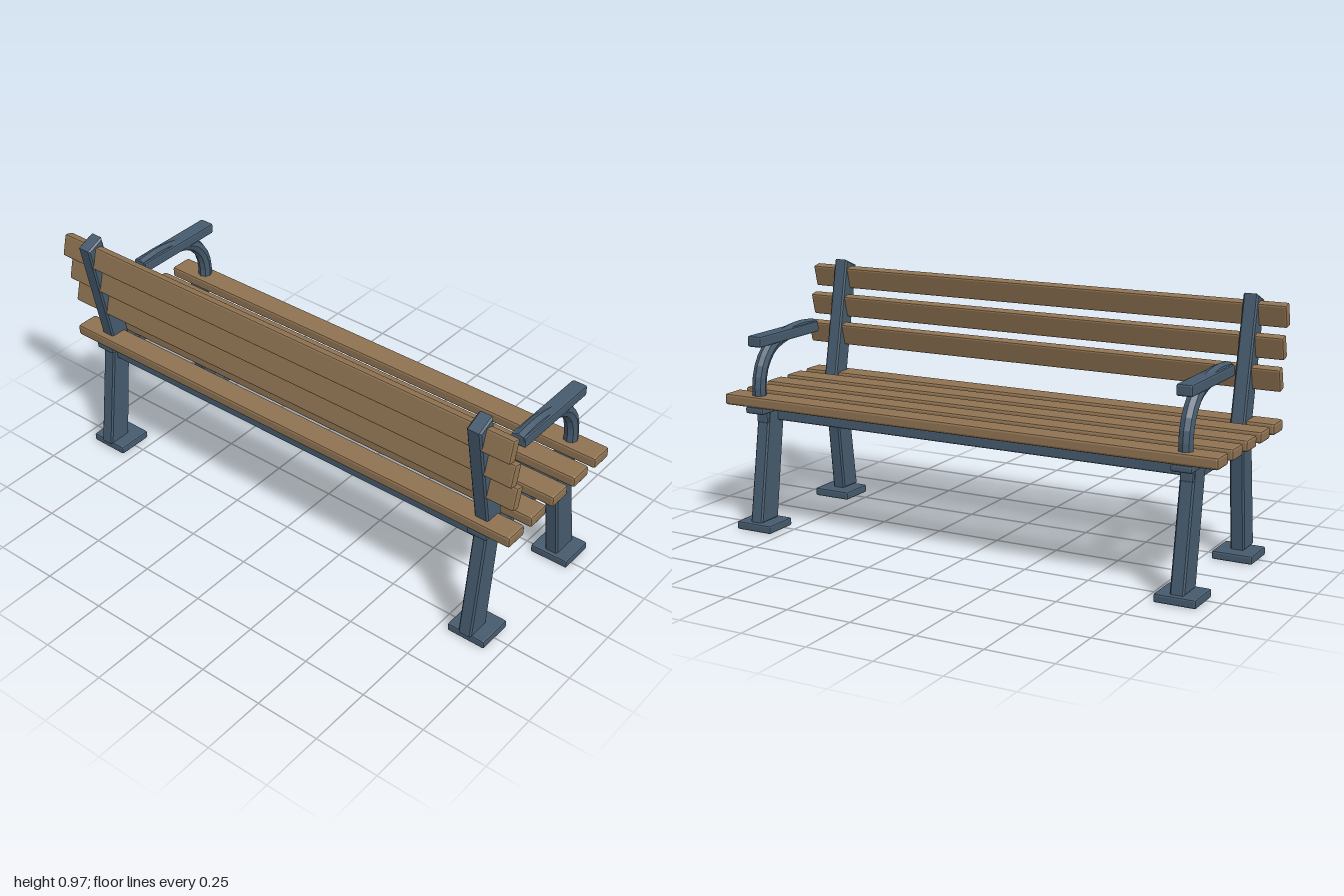
import * as THREE from 'three';
import { RoundedBoxGeometry } from 'three/addons/geometries/RoundedBoxGeometry.js';

const wood = new THREE.MeshStandardMaterial({ color: 0x8f7352, flatShading: true });
wood.name = 'brown wood';
const iron = new THREE.MeshStandardMaterial({ color: 0x465b6e, flatShading: true });
iron.name = 'blue grey iron';

function add(parent, name, geometry, material, x = 0, y = 0, z = 0) {
  const mesh = new THREE.Mesh(geometry, material);
  mesh.name = name;
  mesh.position.set(x, y, z);
  parent.add(mesh);
  return mesh;
}

// Box with chamfered edges
const block = (w, h, d, r = 0.007) => new RoundedBoxGeometry(w, h, d, 1, r);

// Side profile given as [z, y] points, extruded along x and centred on x = 0
function plate(points, width, bevel = 0.006) {
  const shape = new THREE.Shape(points.map(([z, y]) => new THREE.Vector2(-z, y)));
  const geometry = new THREE.ExtrudeGeometry(shape, {
    depth: width - 2 * bevel, bevelEnabled: true, bevelSegments: 1,
    bevelSize: bevel, bevelThickness: bevel, bevelOffset: -bevel,
  });
  geometry.translate(0, 0, bevel - width / 2);
  return geometry.rotateY(Math.PI / 2);
}

// Iron frame for one end of the bench
function createEndFrame() {
  const frame = new THREE.Group();
  add(frame, 'backLeg', plate([[0.33, 0.03], [0.233, 0.03], [0.185, 0.46], [0.272, 0.46]], 0.054), iron);
  add(frame, 'frontLeg', plate([[-0.225, 0.03], [-0.332, 0.03], [-0.262, 0.46], [-0.163, 0.46]], 0.054), iron);
  add(frame, 'backFoot', block(0.155, 0.032, 0.143), iron, 0, 0.016 , 0.25);
  add(frame, 'frontFoot', block(0.155, 0.032, 0.143), iron, 0, 0.016, -0.28);
  add(frame, 'sideRail', block(0.05, 0.055, 0.545), iron, 0, 0.438, -0.002);
  add(frame, 'seatSupport', block(0.08, 0.026, 0.618), iron, 0, 0.468, -0.014);
  add(frame, 'backPost', plate([[0.264, 0.475], [0.182, 0.475], [0.283, 0.967], [0.354, 0.937]], 0.056), iron);

  // Armrest: curved support under and along a flat pad
  const path = new THREE.CatmullRomCurve3([
    [-0.28, 0.475], [-0.284, 0.56], [-0.266, 0.63], [-0.212, 0.694],
    [-0.12, 0.727], [-0.02, 0.74], [0.075, 0.733],
  ].map(([z, y]) => new THREE.Vector3(0, y, z)));
  add(frame, 'armSupport', new THREE.TubeGeometry(path, 14, 0.027, 8), iron);
  add(frame, 'armPad', block(0.06, 0.042, 0.386), iron, 0, 0.731, -0.118);
  return frame;
}

export function createModel() {
  const bench = new THREE.Group();
  bench.name = 'bench';

  // Two matching end frames
  for (const side of [-1, 1]) {
    const frame = createEndFrame();
    frame.name = side > 0 ? 'leftEndFrame' : 'rightEndFrame';
    frame.position.x = side * 0.867;
    bench.add(frame);
  }

  // Long rails joining the frames under the seat
  add(bench, 'frontRail', block(1.72, 0.05, 0.05), iron, 0, 0.437, -0.184);
  add(bench, 'backRail', block(1.72, 0.05, 0.05), iron, 0, 0.437, 0.232);

  // Seat slats
  for (let i = 0; i < 5; i++) {
    add(bench, 'seatSlat', block(2, 0.043, 0.092, 0.009), wood, 0, 0.501, 0.254 - i * 0.1335);
  }

  // Tilted backrest slats
  for (const [y, z] of [[0.672, 0.266], [0.782, 0.289], [0.894, 0.311]]) {
    add(bench, 'backSlat', block(2, 0.086, 0.037, 0.007), wood, 0, y, z).rotation.x = -0.25;
  }
  return bench;
}
